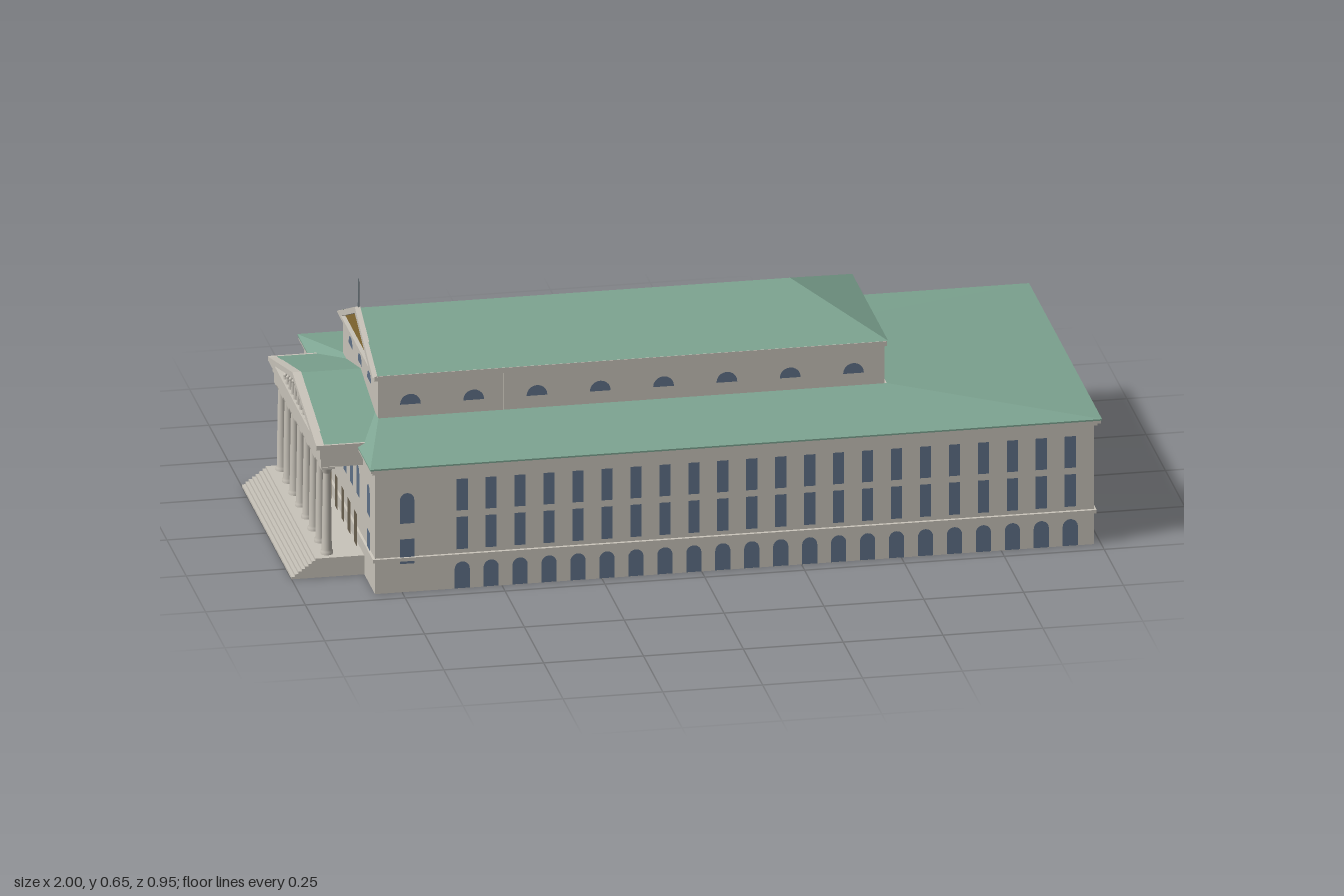
import * as THREE from 'three';
import { mergeGeometries } from 'three/addons/utils/BufferGeometryUtils.js';

const mat = (name, color, side = THREE.FrontSide) => {
  const m = new THREE.MeshStandardMaterial({ color, side });
  m.name = name;
  return m;
};

// Flat-faced geometry from convex polygons, corners counter-clockwise from outside
function polys(list) {
  const pos = [];
  for (const p of list)
    for (let i = 1; i < p.length - 1; i++) pos.push(...p[0], ...p[i], ...p[i + 1]);
  const g = new THREE.BufferGeometry();
  g.setAttribute('position', new THREE.Float32BufferAttribute(pos, 3));
  g.computeVertexNormals();
  return g;
}

// Four sloping or upright faces between a lower and an upper rectangle
function frustum(x0, x1, z, y0, X0, X1, Z, y1) {
  const lo = [[x0, y0, z], [x1, y0, z], [x1, y0, -z], [x0, y0, -z]];
  const hi = [[X0, y1, Z], [X1, y1, Z], [X1, y1, -Z], [X0, y1, -Z]];
  return polys(lo.map((p, i) => [p, lo[(i + 1) % 4], hi[(i + 1) % 4], hi[i]]));
}

// Box given by its x, y and half-depth limits
function slab(x0, x1, y0, y1, z) {
  return new THREE.BoxGeometry(x1 - x0, y1 - y0, 2 * z).translate((x0 + x1) / 2, (y0 + y1) / 2, 0);
}

// Triangle across z, extruded along x; an inset leaves only the sloping frame
function gable(x0, x1, half, y0, y1, inset = 0) {
  const tri = (h, a, b) => [new THREE.Vector2(-h, a), new THREE.Vector2(h, a), new THREE.Vector2(0, b)];
  const s = new THREE.Shape(tri(half, y0, y1));
  if (inset) {
    const k = (y1 - y0) / half;
    const a = y0 + inset * 0.5, b = y1 - inset;
    s.holes.push(new THREE.Path(tri((b - a) / k, a, b).reverse()));
  }
  return new THREE.ExtrudeGeometry(s, { depth: x1 - x0, bevelEnabled: false })
    .rotateY(Math.PI / 2).translate(x0, 0, 0);
}

// Window outlines, standing on y = 0
function rect(w, h) {
  return new THREE.ShapeGeometry(new THREE.Shape([
    new THREE.Vector2(-w / 2, 0), new THREE.Vector2(w / 2, 0),
    new THREE.Vector2(w / 2, h), new THREE.Vector2(-w / 2, h)]));
}
function arch(w, h) {
  const s = new THREE.Shape();
  s.moveTo(-w / 2, 0);
  s.lineTo(w / 2, 0);
  s.absarc(0, h - w / 2, w / 2, 0, Math.PI, false);
  s.closePath();
  return new THREE.ShapeGeometry(s, 5);
}

// Wall directions as turns about y
const FRONT = 0, BACK = Math.PI, EAST = Math.PI / 2, WEST = -Math.PI / 2;
const onWall = (g, turn, u, y, d) => g.translate(u, y, d).rotateY(turn);

export function createModel() {
  const model = new THREE.Group();
  const stone = mat('stone', 0xc9c4ba, THREE.DoubleSide);
  const copper = mat('copper roof', 0x7da491, THREE.DoubleSide);
  const glass = mat('window glass', 0x5f7188);
  const wood = mat('door brown', 0x695f4e);
  const gold = mat('gold mosaic', 0x8a6f35);
  const metal = mat('spire metal', 0x6f7a80);
  const add = (name, geos, m) => {
    const list = [].concat(geos).map(g => (g.index ? g.toNonIndexed() : g));
    const mesh = new THREE.Mesh(list.length > 1 ? mergeGeometries(list) : list[0], m);
    mesh.name = name;
    model.add(mesh);
  };

  // Main block, hollow underneath
  add('mainWalls', frustum(-0.818, 0.982, 0.46, 0, -0.818, 0.982, 0.46, 0.32), stone);
  add('stringCourse', [
    frustum(-0.824, 0.988, 0.466, 0.083, -0.824, 0.988, 0.466, 0.092),
    frustum(-0.824, 0.988, 0.466, 0.092, -0.818, 0.982, 0.46, 0.093),
    frustum(-0.818, 0.982, 0.46, 0.082, -0.824, 0.988, 0.466, 0.083)], stone);
  add('mainCornice', [slab(-0.826, 0.99, 0.315, 0.322, 0.467), slab(-0.83, 0.998, 0.321, 0.331, 0.471)], stone);
  add('lowerRoof', [
    frustum(-0.832, 1, 0.473, 0.329, -0.832, 1, 0.473, 0.333),
    frustum(-0.832, 1, 0.473, 0.333, -0.765, 0.508, 0.23, 0.372)], copper);

  // Raised hall with its gabled and hipped roof
  add('hallWalls', frustum(-0.765, 0.502, 0.228, 0.36, -0.765, 0.502, 0.228, 0.472), stone);
  add('hallCornice', slab(-0.775, 0.508, 0.47, 0.483, 0.232), stone);
  const e = 0.484, r = 0.577, hz = 0.233, a = -0.768, b = 0.511, c = 0.31;
  add('hallRoof', polys([
    [[a, e, hz], [b, e, hz], [c, r, 0], [a, r, 0]],
    [[b, e, -hz], [a, e, -hz], [a, r, 0], [c, r, 0]],
    [[b, e, hz], [b, e, -hz], [c, r, 0]]]), copper);
  add('hallGableFrame', gable(-0.78, -0.766, 0.233, 0.481, 0.58, 0.016), stone);
  add('hallGableMosaic', gable(-0.769, -0.765, 0.22, 0.483, 0.572), gold);
  add('spire', new THREE.CylinderGeometry(0.0015, 0.0025, 0.08, 6).translate(-0.77, 0.614, 0), metal);

  // Slim pilasters between pairs of hall windows
  const pilasters = [];
  for (const x of [-0.448, -0.131, 0.186]) pilasters.push(slab(x - 0.004, x + 0.004, 0.365, 0.472, 0.23));
  add('hallPilasters', pilasters, stone);

  // Long side windows, the same on both sides
  const panes = [], doors = [];
  for (const [turn, s] of [[FRONT, 1], [BACK, -1]]) {
    for (let i = 0; i < 22; i++) {
      const x = s * (-0.6 + i * 0.0725);
      panes.push(onWall(rect(0.028, 0.083), turn, x, 0.206, 0.462));
      panes.push(onWall(rect(0.028, 0.085), turn, x, 0.104, 0.462));
      panes.push(onWall(arch(0.038, 0.07), turn, x, 0.001, 0.462));
    }
    panes.push(onWall(arch(0.036, 0.08), turn, -s * 0.738, 0.181, 0.462));
    panes.push(onWall(rect(0.036, 0.065), turn, -s * 0.738, 0.075, 0.462));
    for (let i = 0; i < 8; i++)
      panes.push(onWall(arch(0.052, 0.027), turn, s * (-0.685 + i * 0.1585), 0.404, 0.2305));
  }

  // Plain end wall
  for (let i = 0; i < 11; i++) {
    const z = (i - 5) * 0.0762;
    panes.push(onWall(rect(0.023, 0.082), EAST, z, 0.206, 0.984));
    panes.push(onWall(rect(0.023, 0.086), EAST, z, 0.103, 0.984));
    doors.push(onWall(rect(0.03, 0.055), EAST, z, 0.001, 0.984));
  }

  // Entrance wall behind and beside the columns
  const gap = 0.083;
  for (let i = -3; i <= 3; i++) {
    panes.push(onWall(arch(0.036, 0.08), WEST, i * gap, 0.181, 0.82));
    doors.push(onWall(rect(0.036, 0.085), WEST, i * gap, 0.053, 0.826));
  }
  for (const z of [-0.385, 0.385]) {
    panes.push(onWall(arch(0.036, 0.08), WEST, z, 0.181, 0.82));
    panes.push(onWall(rect(0.036, 0.065), WEST, z, 0.075, 0.82));
  }
  for (const z of [-0.12, 0, 0.12]) panes.push(onWall(arch(0.05, 0.026), WEST, z, 0.43, 0.767));
  add('windows', panes, glass);
  add('doors', doors, wood);

  // Portico floor and steps
  add('porticoFloor', slab(-0.932, -0.815, 0, 0.05, 0.322), stone);
  const steps = [], n = 8;
  for (let i = 0; i < n; i++)
    steps.push(slab(-1 + i * 0.068 / n, -0.93, i * 0.05 / n, (i + 1) * 0.05 / n, 0.322));
  add('steps', steps, stone);

  // Columns with base and capital
  const profile = [[0.0155, 0.05], [0.0155, 0.058], [0.0125, 0.062], [0.012, 0.12], [0.0095, 0.262],
    [0.011, 0.265], [0.016, 0.28]].map(p => new THREE.Vector2(...p));
  const columns = [];
  for (let i = 0; i < 8; i++) {
    const z = (i - 3.5) * gap;
    columns.push(new THREE.LatheGeometry(profile, 14).translate(-0.906, 0, z));
    columns.push(new THREE.BoxGeometry(0.034, 0.006, 0.034).translate(-0.906, 0.28, z));
  }
  add('columns', columns, stone);

  // Entablature, pediment and roof of the portico
  add('entablature', [slab(-0.923, -0.815, 0.282, 0.305, 0.305), slab(-0.926, -0.815, 0.305, 0.332, 0.308)], stone);
  add('porticoCornice', slab(-0.936, -0.8, 0.331, 0.343, 0.314), stone);
  add('pedimentWall', gable(-0.918, -0.914, 0.3, 0.342, 0.412), stone);
  add('pedimentFrame', gable(-0.936, -0.914, 0.314, 0.341, 0.419, 0.014), stone);
  const pe = 0.342, pr = 0.417, pz = 0.312;
  add('porticoRoof', polys([
    [[-0.916, pe, pz], [-0.765, pe, pz], [-0.765, pr, 0], [-0.916, pr, 0]],
    [[-0.765, pe, -pz], [-0.916, pe, -pz], [-0.916, pr, 0], [-0.765, pr, 0]]]), copper);

  // Relief figures standing in the pediment
  const figures = [];
  for (let i = -4; i <= 4; i++) {
    const h = 0.046 - Math.abs(i) * 0.008;
    figures.push(new THREE.CylinderGeometry(0.004, 0.007, h, 6).translate(-0.927, 0.342 + h / 2, i * 0.035));
    figures.push(new THREE.SphereGeometry(0.005, 8, 6).translate(-0.927, 0.344 + h, i * 0.035));
  }
  add('pedimentFigures', figures, stone);

  return model;
}
